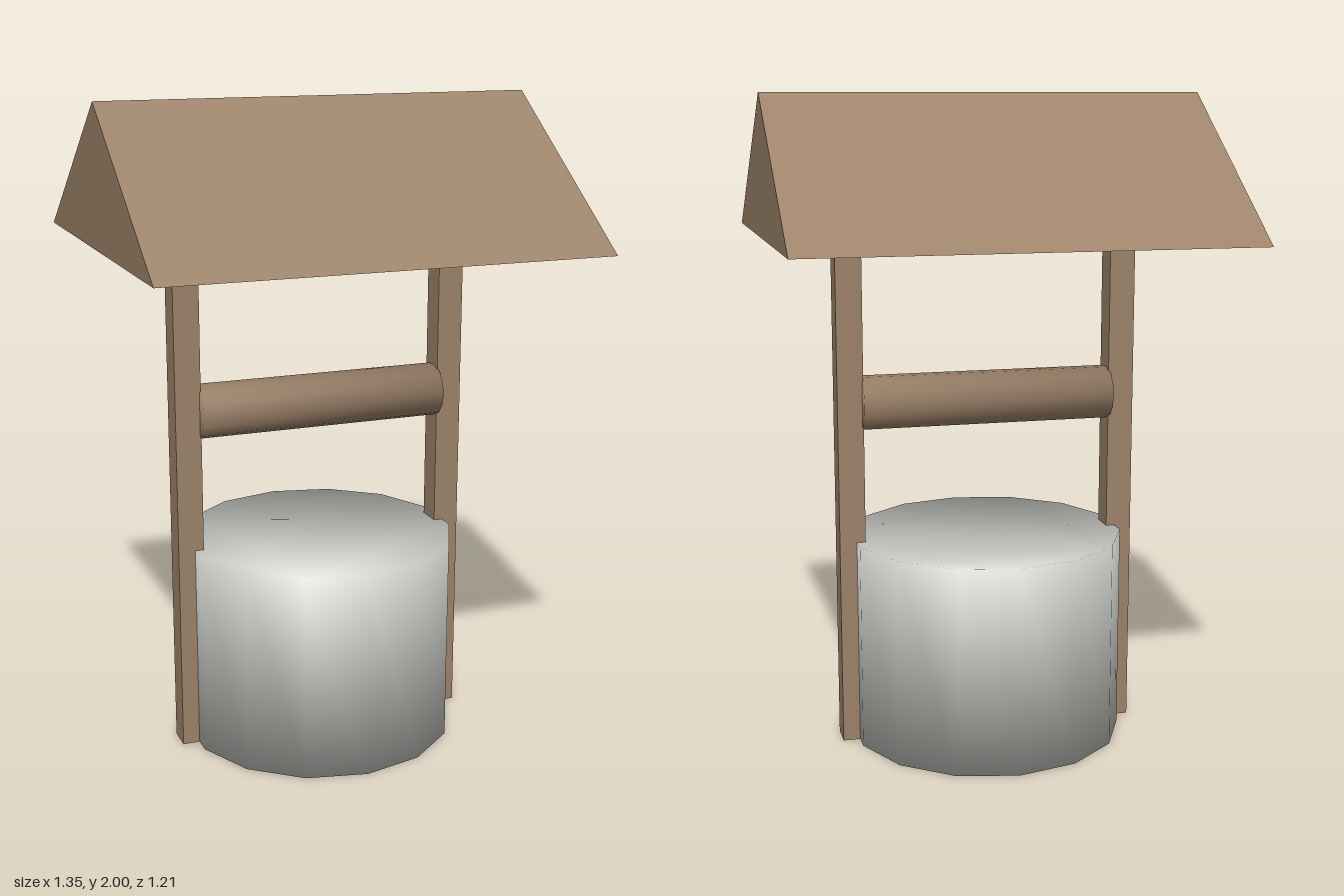
import * as THREE from 'three';
import { mergeVertices } from 'three/addons/utils/BufferGeometryUtils.js';

const SIDES = 14;

// Closed prism along z, centred, with normals shared softly between wall and caps
function softDrum(radius, length, startAngle) {
  const points = [];
  for (let i = 0; i < SIDES; i++) {
    const a = startAngle + (i / SIDES) * Math.PI * 2;
    points.push(new THREE.Vector2(radius * Math.cos(a), radius * Math.sin(a)));
  }
  let geo = new THREE.ExtrudeGeometry(new THREE.Shape(points), { depth: length, bevelEnabled: false });
  geo.translate(0, 0, -length / 2);
  geo.deleteAttribute('uv');
  geo.deleteAttribute('normal');
  geo = mergeVertices(geo, 1e-4);
  geo.clearGroups();
  geo.computeVertexNormals();
  const pos = geo.attributes.position;
  const n = new THREE.Vector3();
  for (let i = 0; i < pos.count; i++) {
    n.set(pos.getX(i) / radius, pos.getY(i) / radius, 0.88 * Math.sign(pos.getZ(i))).normalize();
    geo.attributes.normal.setXYZ(i, n.x, n.y, n.z);
  }
  return geo;
}

// Thin gabled shell, open underneath
function roofShell(halfX, halfZ, eaveY, ridgeY) {
  const corner = (sx, sz) => [sx * halfX, eaveY, sz * halfZ];
  const ridge = (sx) => [sx * halfX, ridgeY, 0];
  const data = [];
  for (const s of [1, -1]) {
    const a = corner(-s, s), b = corner(s, s), c = ridge(s), d = ridge(-s);
    data.push(a, b, c, a, c, d);                   // slope
    data.push(corner(s, s), corner(s, -s), c);     // gable end
  }
  const geo = new THREE.BufferGeometry();
  geo.setAttribute('position', new THREE.Float32BufferAttribute(data.flat(), 3));
  geo.computeVertexNormals();
  return geo;
}

export function createModel() {
  const group = new THREE.Group();
  const wood = new THREE.MeshStandardMaterial({ color: 0x9c8269, side: THREE.DoubleSide });
  wood.name = 'wood';
  const stone = new THREE.MeshStandardMaterial({ color: 0xc9c9c4 });
  stone.name = 'stone';

  const add = (name, geo, mat) => {
    const mesh = new THREE.Mesh(geo, mat);
    mesh.name = name;
    group.add(mesh);
    return mesh;
  };

  // Round stone base, a corner of the polygon facing front and back
  const base = softDrum(0.427, 0.643, Math.PI / 2).rotateX(-Math.PI / 2);
  add('wellBase', base, stone).position.y = 0.3215;

  // Posts reach up inside the roof
  const postHeight = 1.71;
  for (const [name, side] of [['leftPost', 1], ['rightPost', -1]]) {
    add(name, new THREE.BoxGeometry(0.08, postHeight, 0.08), wood)
      .position.set(side * 0.429, postHeight / 2, 0);
  }

  // Crossbar log between the posts
  add('crossbar', softDrum(0.083, 0.786, 0).rotateY(Math.PI / 2), wood).position.y = 1.073;

  add('roof', roofShell(0.676, 0.605, 1.577, 2), wood);
  return group;
}
